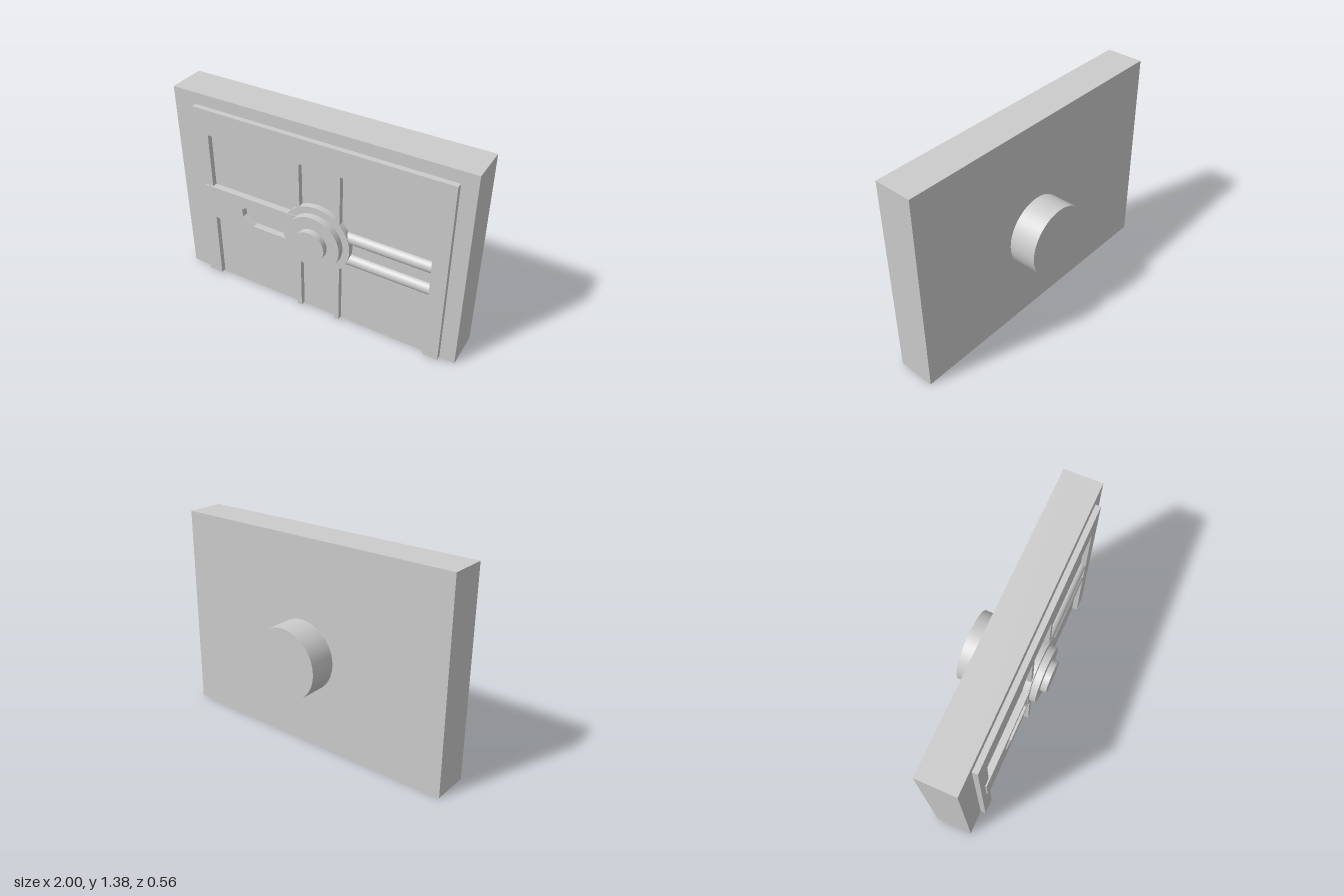
import * as THREE from 'three';

const material = new THREE.MeshStandardMaterial({ color: 0xcccccc });
const CX = 0.035, CY = 0.61;          // dial axis
const WALL = 0.155;                   // front face of the slab

function add(group, name, geometry, x = 0, y = 0, z = 0) {
  const mesh = new THREE.Mesh(geometry, material);
  mesh.name = name;
  mesh.position.set(x, y, z);
  group.add(mesh);
  return mesh;
}

// Flat plate cut from an outline, with optional holes, between two depths
function plate(points, z0, z1, holes = []) {
  const toVectors = (list) => list.map(([x, y]) => new THREE.Vector2(x, y));
  const shape = new THREE.Shape(toVectors(points));
  for (const hole of holes) shape.holes.push(new THREE.Path(toVectors(hole)));
  const geometry = new THREE.ExtrudeGeometry(shape, { depth: z1 - z0, bevelEnabled: false });
  return geometry.translate(0, 0, z0);
}

// Round disc facing forward on the dial axis
function disc(group, name, radius, z0, z1) {
  const geometry = new THREE.CylinderGeometry(radius, radius, z1 - z0, 64).rotateX(Math.PI / 2);
  add(group, name, geometry, CX, CY, (z0 + z1) / 2);
}

export function createModel() {
  const model = new THREE.Group();
  model.name = 'wallPanel';

  // Main slab
  add(model, 'slab', new THREE.BoxGeometry(2, 1.375, 0.25), 0, 0.6875, 0.03);

  // Raised frame with two uprights, one open-bottomed outline
  const bottom = 0.01, lintel = 1.12;
  const legs = [[-0.84, -0.74], [-0.11, -0.08], [0.17, 0.20], [0.80, 0.90]];
  const outline = [[-0.84, 1.295]];
  legs.forEach(([left, right], i) => {
    if (i > 0) outline.push([left, lintel]);
    outline.push([left, bottom], [right, bottom]);
    if (i < legs.length - 1) outline.push([right, lintel]);
  });
  outline.push([0.90, 1.295]);
  add(model, 'frame', plate(outline, WALL, 0.19));

  // Slotted arm to the left of the dial
  const arm = [[-0.79, 0.5], [-0.11, 0.5], [-0.11, 0.74], [-0.79, 0.74]];
  const slot = [[-0.51, 0.585], [-0.51, 0.645], [-0.43, 0.695],
    [-0.17, 0.695], [-0.17, 0.535], [-0.43, 0.535]];
  add(model, 'slottedArm', plate(arm, WALL, 0.199, [slot]));

  // Twin rods from the dial to the frame
  for (const [name, y] of [['upperRod', 0.684], ['lowerRod', 0.519]]) {
    const rod = new THREE.CylinderGeometry(0.041, 0.041, 0.6, 32).rotateZ(Math.PI / 2);
    add(model, name, rod, 0.51, y, 0.149);
  }

  // Stepped dial in front, drum behind
  disc(model, 'dialBase', 0.237, WALL, 0.195);
  disc(model, 'dialRing', 0.19, 0.19, 0.24);
  disc(model, 'dialHub', 0.106, 0.235, 0.28);
  disc(model, 'rearDrum', 0.237, -0.28, -0.09);

  return model;
}
